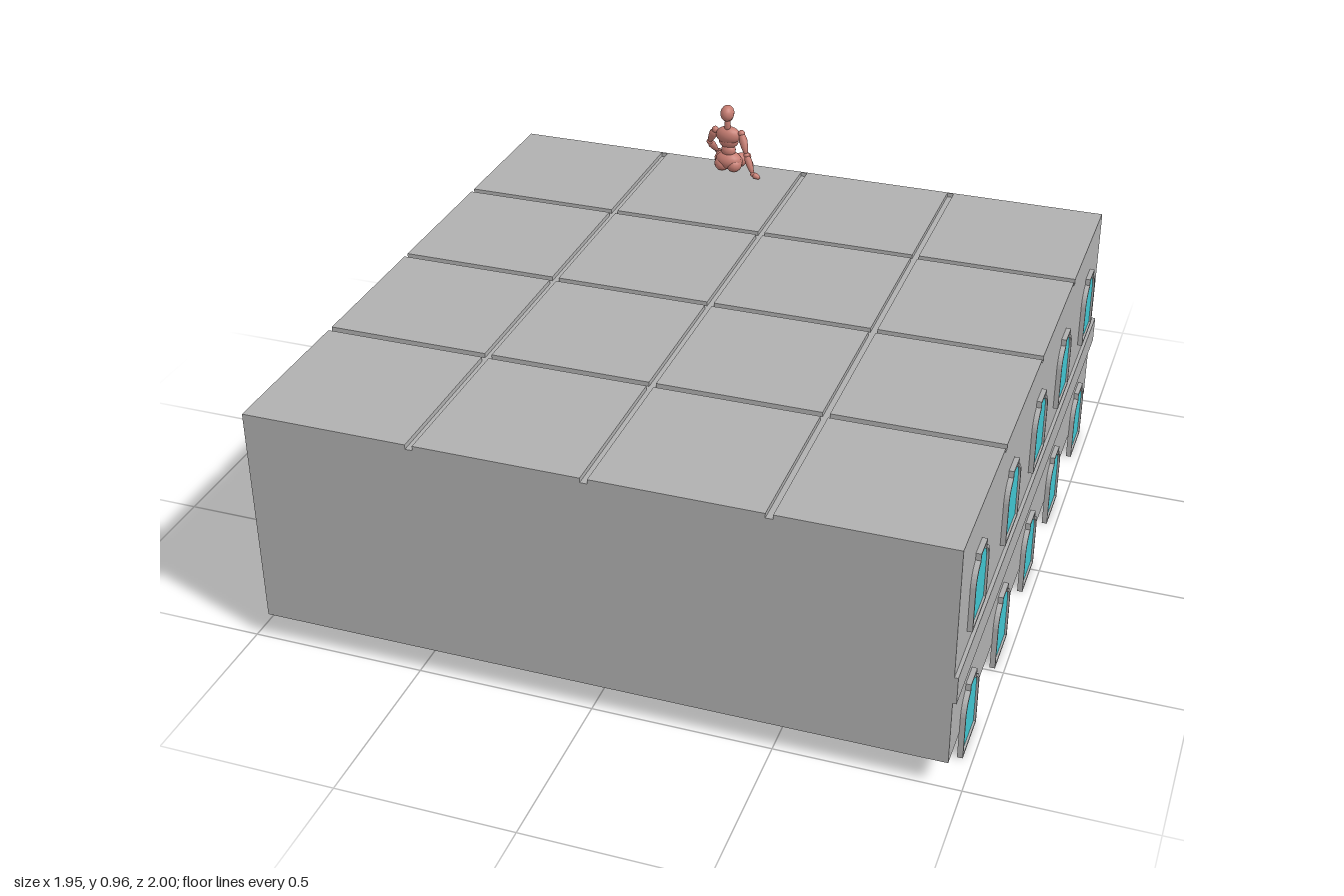
import * as THREE from 'three';

export function createModel() {
  const root = new THREE.Group();
  const stone = new THREE.MeshStandardMaterial({ color: 0xb0b0b0 });
  stone.name = 'stone grey';
  const glass = new THREE.MeshStandardMaterial({ color: 0x40c4d0 });
  glass.name = 'window cyan';
  const clay = new THREE.MeshStandardMaterial({ color: 0xc67d72 });
  clay.name = 'clay pink';

  const add = (parent, geo, mat, name) => {
    const m = new THREE.Mesh(geo, mat);
    m.name = name;
    parent.add(m);
    return m;
  };
  // Box given by its minimum and maximum corners
  const box = (name, a, b) => {
    const m = add(root, new THREE.BoxGeometry(b[0] - a[0], b[1] - a[1], b[2] - a[2]), stone, name);
    m.position.set((a[0] + b[0]) / 2, (a[1] + b[1]) / 2, (a[2] + b[2]) / 2);
  };

  // Main block and roof slabs separated by grooves
  const X0 = -0.955, X1 = 0.96, Z0 = -0.917, Z1 = 1, TOP = 0.725, DECK = 0.712, GAP = 0.01;
  box('block', [X0, 0.08, Z0], [X1, DECK, Z1]);
  const xs = [X0 - GAP, -0.478, 0, 0.482, X1 + GAP];
  const zs = [-0.905 - GAP, -0.44, 0.037, 0.515, Z1 + GAP];
  for (let i = 0; i < 4; i++)
    for (let j = 0; j < 4; j++)
      box('roofSlab', [xs[i] + GAP, DECK, zs[j] + GAP], [xs[i + 1] - GAP, TOP, zs[j + 1] - GAP]);

  // Sloped coping along the back roof edge
  const coping = new THREE.Shape([[Z0, DECK], [-0.905, DECK], [-0.905, TOP], [-0.909, TOP]]
    .map(([z, y]) => new THREE.Vector2(-z, y)).reverse());
  const copingMesh = add(root, new THREE.ExtrudeGeometry(coping, { depth: X1 - X0, bevelEnabled: false }), stone, 'coping');
  copingMesh.rotation.y = Math.PI / 2;
  copingMesh.position.x = X0;

  // String course around the two decorated walls
  box('sideBand', [X1 - 0.02, 0.27, -0.93], [0.97, 0.35, Z1]);
  box('backBand', [X0, 0.27, -0.93], [X1, 0.35, Z0 + 0.02]);

  // Shouldered arch outline, inset by t
  const arch = (t, Type) => {
    const w = 0.078 - t, n = 0.036 - t * 0.8, s = new Type();
    s.moveTo(-w, t);
    s.lineTo(w, t);
    s.lineTo(w, 0.132);
    s.quadraticCurveTo(w - 0.004, 0.172 - t, n, 0.187 - t);
    s.lineTo(n, 0.207 - t);
    s.lineTo(-n, 0.207 - t);
    s.lineTo(-n, 0.187 - t);
    s.quadraticCurveTo(-w + 0.004, 0.172 - t, -w, 0.132);
    s.closePath();
    return s;
  };
  const frameShape = arch(0, THREE.Shape);
  frameShape.holes.push(arch(0.007, THREE.Path));
  const frameGeo = new THREE.ExtrudeGeometry(frameShape, { depth: 0.015, bevelEnabled: false, curveSegments: 6 });
  const glassGeo = new THREE.ExtrudeGeometry(arch(0.006, THREE.Shape), { depth: 0.007, bevelEnabled: false, curveSegments: 6 });
  const addWindow = (x, y, z, turn) => {
    const g = new THREE.Group();
    g.name = 'window';
    add(g, frameGeo, stone, 'windowFrame');
    add(g, glassGeo, glass, 'windowPane').position.z = 0.002;
    g.position.set(x, y, z);
    g.rotation.y = turn;
    root.add(g);
  };
  for (const y of [0, 0.403]) {
    for (const z of [0.8, 0.41, 0.04, -0.325, -0.72]) addWindow(X1 - 0.001, y, z, Math.PI / 2);
    for (const x of [-0.76, -0.368, 0, 0.368, 0.76]) addWindow(x, y, Z0 + 0.001, Math.PI);
  }

  // Small corner column with base and capital
  const profile = [[0, 0.42], [0.025, 0.42], [0.025, 0.433], [0.016, 0.442], [0.014, 0.45],
    [0.014, 0.63], [0.016, 0.638], [0.025, 0.647], [0.025, 0.66], [0, 0.66]];
  const column = add(root, new THREE.LatheGeometry(profile.map(p => new THREE.Vector2(...p)), 20), stone, 'cornerColumn');
  column.position.set(-0.955, 0, -0.922);

  // Seated jointed figure, facing backwards with legs over the edge
  const figure = new THREE.Group();
  figure.name = 'seatedFigure';
  root.add(figure);
  const ball = new THREE.SphereGeometry(1, 16, 12);
  const blob = (name, p, r, tilt = 0) => {
    const m = add(figure, ball, clay, name);
    m.position.set(...p);
    m.scale.set(...r);
    m.rotation.x = tilt;
  };
  // Tapered limb with swelling near its start
  const limb = (name, a, b, r) => {
    const A = new THREE.Vector3(...a), D = new THREE.Vector3(...b).sub(A), L = D.length();
    const pts = [[0, 0], [0.7, 0.05], [1, 0.3], [0.8, 0.65], [0.5, 0.92], [0, 1]];
    const m = add(figure, new THREE.LatheGeometry(pts.map(([q, t]) => new THREE.Vector2(q * r, t * L)), 12), clay, name);
    m.position.copy(A);
    m.quaternion.setFromUnitVectors(new THREE.Vector3(0, 1, 0), D.normalize());
  };
  const chain = (names, points, radii) => {
    names.forEach((n, i) => {
      limb(n, points[i], points[i + 1], radii[i]);
      blob('joint', points[i], [radii[i] * 0.8, radii[i] * 0.8, radii[i] * 0.8]);
    });
  };
  blob('head', [-0.237, 0.929, -0.832], [0.022, 0.026, 0.027], 0.3);
  blob('jaw', [-0.237, 0.913, -0.842], [0.015, 0.017, 0.018]);
  limb('neck', [-0.237, 0.868, -0.835], [-0.237, 0.918, -0.832], 0.011);
  blob('chest', [-0.237, 0.85, -0.842], [0.041, 0.03, 0.026], 0.2);
  blob('ribs', [-0.237, 0.83, -0.846], [0.033, 0.027, 0.023], 0.2);
  blob('waist', [-0.237, 0.797, -0.845], [0.024, 0.022, 0.02]);
  blob('pelvis', [-0.237, 0.762, -0.846], [0.043, 0.03, 0.032]);
  for (const s of [-1, 1]) blob('buttock', [-0.237 + s * 0.02, 0.75, -0.842], [0.025, 0.024, 0.028]);

  const armNames = ['upperArm', 'forearm', 'hand'];
  chain(armNames, [[-0.192, 0.862, -0.84], [-0.168, 0.798, -0.82], [-0.142, 0.742, -0.805], [-0.118, 0.731, -0.805]], [0.014, 0.012, 0.01]);
  chain(armNames, [[-0.282, 0.862, -0.845], [-0.308, 0.808, -0.865], [-0.298, 0.757, -0.915], [-0.292, 0.742, -0.937]], [0.014, 0.012, 0.01]);
  const legNames = ['thigh', 'shin', 'foot'];
  chain(legNames, [[-0.212, 0.757, -0.855], [-0.207, 0.735, -0.945], [-0.2, 0.63, -0.965], [-0.197, 0.608, -0.997]], [0.023, 0.018, 0.012]);
  chain(legNames, [[-0.262, 0.757, -0.855], [-0.295, 0.735, -0.938], [-0.315, 0.635, -0.957], [-0.335, 0.612, -0.988]], [0.023, 0.018, 0.012]);

  return root;
}
